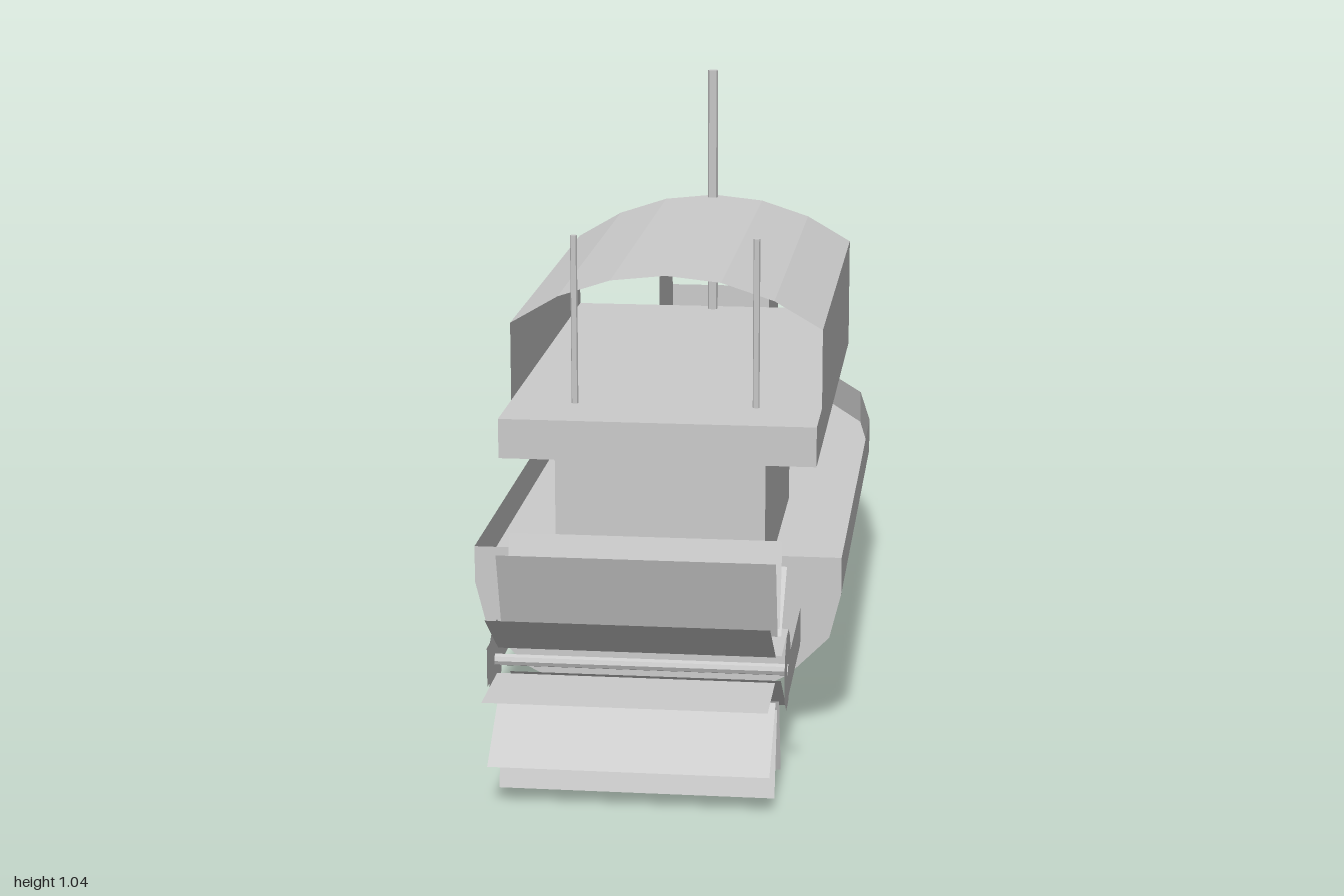
import * as THREE from 'three';

const mat = new THREE.MeshStandardMaterial({ color: 0xcccccc, flatShading: true, side: THREE.DoubleSide });
const DECK = 0.26;

function add(parent, name, geo, x = 0, y = 0, z = 0) {
  const m = new THREE.Mesh(geo, mat);
  m.name = name;
  m.position.set(x, y, z);
  parent.add(m);
  return m;
}

// Skin a list of cross-sections, each an array of [x, y, z]
function loft(sections) {
  const pos = [], idx = [], n = sections[0].length;
  sections.forEach(s => s.forEach(p => pos.push(...p)));
  for (let i = 0; i < sections.length - 1; i++) {
    for (let j = 0; j < n - 1; j++) {
      const a = i * n + j, b = a + 1, c = a + n, d = c + 1;
      idx.push(a, c, b, b, c, d);
    }
  }
  const g = new THREE.BufferGeometry();
  g.setAttribute('position', new THREE.Float32BufferAttribute(pos, 3));
  g.setIndex(idx);
  g.computeVertexNormals();
  return g;
}

// Flat outline drawn in (x, y) at a given z
function flat(points) {
  return new THREE.ShapeGeometry(new THREE.Shape(points.map(p => new THREE.Vector2(p[0], p[1]))));
}

// Circular arch from +w to -w rising from y0 to y1
function arch(w, y0, y1, segs) {
  const h = y1 - y0, r = (w * w + h * h) / (2 * h), half = Math.asin(w / r);
  return Array.from({ length: segs + 1 }, (_, i) => {
    const a = half * (1 - 2 * i / segs);
    return [r * Math.sin(a), y1 - r + r * Math.cos(a)];
  });
}

// Open-ended walls with an arched roof
function archedHouse(w, base, eave, top, z0, z1) {
  const prof = [[w, base], ...arch(w, eave, top, 6), [-w, base]];
  return loft([z0, z1].map(z => prof.map(([x, y]) => [x, y, z])));
}

function buildHull(boat) {
  const half = [[0.32, 0.325], [0.32, 0.26], [0.3, 0.18], [0.23, 0.11], [0.12, 0.052]];
  const prof = [...half, [0, 0.03], ...half.map(([x, y]) => [-x, y]).reverse()];
  // z position and scale of each station, stern to bow
  const stations = [[0.565, 1], [-0.4, 1], [-0.635, 0.905], [-0.82, 0.645], [-0.95, 0.31], [-1, 0]];
  const sections = stations.map(([z, f]) =>
    prof.map(([x, y]) => [x * f, y > DECK ? y : DECK - (DECK - y) * f, z]));
  add(boat, 'hull', loft(sections));
  add(boat, 'transom', flat(prof), 0, 0, 0.565);
  add(boat, 'deck', loft(stations.map(([z, f]) => [[-0.32 * f, DECK, z], [0.32 * f, DECK, z]])));
}

function buildPilotHouse(boat) {
  const zb = -0.4, zf = -0.635, w = 0.112;
  add(boat, 'pilotHouse', archedHouse(w, DECK, 0.67, 0.715, zb, zf));
  add(boat, 'pilotHouseFrontPanel', flat([[-w, DECK], [w, DECK], [w, 0.55], [-w, 0.55]]), 0, 0, zf);
  // Pointed fore cabin: triangular walls under a half-cone roof
  const rim = arch(w, 0.44, 0.485, 6);
  const base = [[w, DECK], ...rim, [-w, DECK]].map(([x, y]) => [x, y, zf]);
  const tip = base.map(([, y]) => [0, y === DECK ? DECK : 0.415, -0.905]);
  add(boat, 'foreCabin', loft([base, tip]));
}

function buildPaddleWheel(boat) {
  const wheel = new THREE.Group();
  wheel.name = 'paddleWheel';
  wheel.position.set(0, 0.198, 0.79);
  boat.add(wheel);
  const inner = 0.067, outer = 0.212, count = 10;
  for (let i = 0; i < count; i++) {
    const pivot = new THREE.Group();
    pivot.name = 'blade';
    pivot.rotation.x = i * 2 * Math.PI / count;
    wheel.add(pivot);
    const b = add(pivot, 'bladeBoard', new THREE.PlaneGeometry(0.46, outer - inner), 0, 0, (inner + outer) / 2);
    b.rotation.x = -Math.PI / 2;
  }
  add(wheel, 'axle', new THREE.CylinderGeometry(0.01, 0.01, 0.5, 8)).rotation.z = Math.PI / 2;
  for (const s of [-1, 1]) {
    add(wheel, 'hub', new THREE.CircleGeometry(inner, 10), s * 0.245, 0, 0).rotation.y = s * Math.PI / 2;
    add(wheel, 'wheelArm', new THREE.PlaneGeometry(0.275, 0.067), s * 0.25, 0.002, -0.0875).rotation.y = s * Math.PI / 2;
  }
}

function pole(parent, name, r, y0, y1, x, z) {
  add(parent, name, new THREE.CylinderGeometry(r, r, y1 - y0, 8), x, (y0 + y1) / 2, z);
}

export function createModel() {
  const boat = new THREE.Group();
  boat.name = 'paddleBoat';
  buildHull(boat);

  // Lower cabin, upper deck and open-ended upper house
  add(boat, 'lowerCabin', new THREE.BoxGeometry(0.368, 0.225, 0.55), 0, 0.3725, 0.245);
  add(boat, 'upperDeck', new THREE.BoxGeometry(0.55, 0.07, 0.965), 0, 0.52, 0.0825);
  add(boat, 'upperHouse', archedHouse(0.275, 0.555, 0.695, 0.785, 0.43, -0.4));
  buildPilotHouse(boat);

  // Ramp from the fore deck up to the upper deck, on one side only
  const side = new THREE.Shape([[0.4, 0.55], [0.4, 0.485], [0.635, 0.26], [0.635, 0.325]]
    .map(p => new THREE.Vector2(...p)));
  const ramp = new THREE.ExtrudeGeometry(side, { depth: 0.093, bevelEnabled: false });
  add(boat, 'ramp', ramp, 0.112, 0, 0).rotation.y = Math.PI / 2;

  // Masts
  pole(boat, 'mainMast', 0.01, DECK, 1.04, 0, -0.377);
  for (const s of [-1, 1]) pole(boat, 'sternPole', 0.006, 0.555, 0.855, s * 0.16, 0.437);

  buildPaddleWheel(boat);
  return boat;
}
